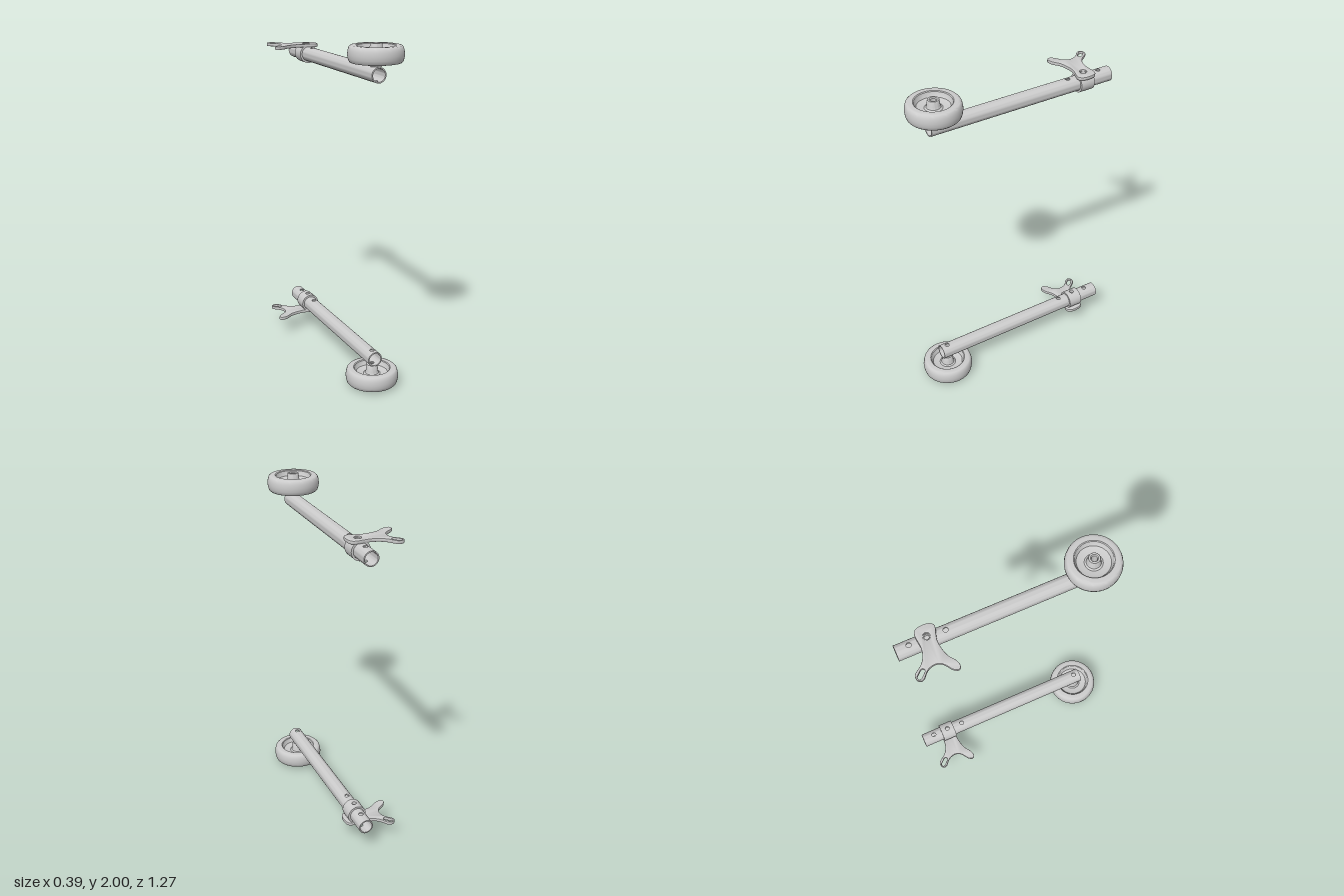
import * as THREE from 'three';
import { toCreasedNormals } from 'three/addons/utils/BufferGeometryUtils.js';

const AXIS_X = 0.037, TUBE_Y = 1.831, BOLT_R = 0.014;
const WHEEL_Z = 0.48, BRACKET_Z = -0.465;

// Hollow pipe along z with vertical bolt holes drilled right through
function drilledPipe(outer, inner, z0, z1, holes) {
  const half = Math.asin(BOLT_R / outer);
  const angles = [];
  for (const side of [0, Math.PI]) {
    for (let j = -6; j <= 6; j++) angles.push(side + Math.asin(BOLT_R / outer * Math.sin(j * Math.PI / 12)));
    for (let j = 1; j < 14; j++) angles.push(side + half + (Math.PI - 2 * half) * j / 14);
  }
  angles.push(angles[0] + 2 * Math.PI);

  const pos = [];
  const point = (a, r, z) => [r * Math.sin(a), r * Math.cos(a), z];
  const quad = (a, b, c, d) => pos.push(...a, ...b, ...c, ...a, ...c, ...d);
  const gap = a => Math.sqrt(Math.max(0, BOLT_R ** 2 - (outer * Math.sin(a)) ** 2));
  // z positions where the wall starts and stops at one angle
  const edges = a => [z0, ...holes.flatMap(h => [h - gap(a), h + gap(a)]), z1];

  for (let i = 0; i < angles.length - 1; i++) {
    const a = angles[i], b = angles[i + 1], ea = edges(a), eb = edges(b);
    const open = gap(a) + gap(b) > 1e-5;
    for (let k = 0; k < ea.length; k += 2) {
      const [oa0, oa1, ob0, ob1] = [point(a, outer, ea[k]), point(a, outer, ea[k + 1]), point(b, outer, eb[k]), point(b, outer, eb[k + 1])];
      const [ia0, ia1, ib0, ib1] = [point(a, inner, ea[k]), point(a, inner, ea[k + 1]), point(b, inner, eb[k]), point(b, inner, eb[k + 1])];
      quad(oa0, oa1, ob1, ob0);
      quad(ia0, ib0, ib1, ia1);
      if (k === 0 || open) quad(oa0, ob0, ib0, ia0);
      if (k === ea.length - 2 || open) quad(oa1, ia1, ib1, ob1);
    }
  }
  const geo = new THREE.BufferGeometry();
  geo.setAttribute('position', new THREE.Float32BufferAttribute(pos, 3));
  return toCreasedNormals(geo, 0.7).translate(AXIS_X, TUBE_Y, 0);
}

// Lathe of [radius, y] points, standing on the wheel axis
function turned(points) {
  const geo = new THREE.LatheGeometry(points.map(p => new THREE.Vector2(...p)), 64);
  return toCreasedNormals(geo, 0.6).translate(AXIS_X, 0, WHEEL_Z);
}

// Rounded tyre with a dished web on both faces
function wheelGeometry() {
  const mid = 1.942;
  const rim = [[0.025, 0.006], [0.045, 0.008], [0.075, 0.010], [0.092, 0.016], [0.099, 0.028],
    [0.103, 0.043], [0.108, 0.047], [0.130, 0.047], [0.140, 0.045], [0.147, 0.038], [0.152, 0.022], [0.155, 0]];
  const lower = rim.map(([r, y]) => [r, mid - y]);
  const upper = rim.slice(0, -1).reverse().map(([r, y]) => [r, mid + y]);
  return turned([...lower, ...upper]);
}

// Bored hub, flared where it meets the web
function hubGeometry() {
  const bore = 0.016;
  return turned([[bore, 1.879], [0.020, 1.874], [0.032, 1.874], [0.034, 1.877], [0.035, 1.915], [0.040, 1.928],
    [0.052, 1.935], [0.052, 1.949], [0.040, 1.956], [0.035, 1.968], [0.033, 1.997], [0.031, 2.0],
    [0.021, 2.0], [bore, 1.994], [bore, 1.879]]);
}

// Forked plate with two slotted fingers and a bolt hole
function plateGeometry() {
  const outline = [
    [0.104, 0.465], [0.098, 0.500], [0.085, 0.515], [0.060, 0.520], [-0.008, 0.515], [-0.056, 0.525],
    [-0.093, 0.549], [-0.117, 0.580], [-0.130, 0.596], [-0.146, 0.602], [-0.165, 0.598], [-0.177, 0.583],
    [-0.173, 0.565], [-0.134, 0.525], [-0.123, 0.481], [-0.137, 0.447], [-0.185, 0.410], [-0.198, 0.388],
    [-0.191, 0.372], [-0.173, 0.368], [-0.144, 0.377], [-0.107, 0.403], [-0.066, 0.417], [-0.008, 0.423],
    [0.036, 0.413], [0.073, 0.403], [0.093, 0.414], [0.103, 0.438]];
  const curve = new THREE.CatmullRomCurve3(outline.map(([x, y]) => new THREE.Vector3(x, y, 0)), true);
  const shape = new THREE.Shape(curve.getPoints(112).slice(0, -1).map(p => new THREE.Vector2(p.x, p.y)));

  const slot = (x0, y0, x1, y1, r) => {
    const dir = Math.atan2(y1 - y0, x1 - x0);
    const path = new THREE.Path();
    path.absarc(x1, y1, r, dir - Math.PI / 2, dir + Math.PI / 2);
    path.absarc(x0, y0, r, dir + Math.PI / 2, dir + Math.PI * 1.5);
    path.closePath();
    return path;
  };
  const bolt = new THREE.Path();
  bolt.absarc(AXIS_X, -BRACKET_Z, 0.020, 0, Math.PI * 2);
  shape.holes.push(slot(-0.155, 0.582, -0.130, 0.555, 0.012), slot(-0.178, 0.388, -0.143, 0.411, 0.012), bolt);

  const geo = new THREE.ExtrudeGeometry(shape, {
    depth: 0.012, bevelEnabled: true, bevelThickness: 0.004, bevelSize: 0.004, bevelOffset: -0.004,
    bevelSegments: 2, curveSegments: 12
  });
  geo.rotateX(-Math.PI / 2).translate(0, 1.877, 0);
  return toCreasedNormals(geo, 0.5);
}

// Copy of a geometry reflected in the plane y = 1
function mirrored(source) {
  const geo = source.clone();
  geo.applyMatrix4(new THREE.Matrix4().makeScale(1, -1, 1).setPosition(0, 2, 0));
  // swap two corners of each triangle so faces still point outward
  for (const attr of Object.values(geo.attributes)) {
    const n = attr.itemSize, a = attr.array;
    for (let t = 0; t < a.length; t += 3 * n) {
      for (let k = 0; k < n; k++) [a[t + n + k], a[t + 2 * n + k]] = [a[t + 2 * n + k], a[t + n + k]];
    }
  }
  return geo;
}

export function createModel() {
  const material = new THREE.MeshStandardMaterial({ color: 0xcccccc });
  const parts = {
    tube: drilledPipe(0.044, 0.037, -0.64, 0.52, [-0.565, BRACKET_Z, -0.36, WHEEL_Z]),
    collar: drilledPipe(0.056, 0.0442, -0.51, -0.422, [BRACKET_Z]),
    bracketPlate: plateGeometry(),
    wheel: wheelGeometry(),
    wheelHub: hubGeometry()
  };

  const model = new THREE.Group();
  model.name = 'wheelArmPair';
  for (const level of ['upper', 'lower']) {
    const arm = new THREE.Group();
    arm.name = level + 'Arm';
    for (const [name, geo] of Object.entries(parts)) {
      const mesh = new THREE.Mesh(level === 'upper' ? geo : mirrored(geo), material);
      mesh.name = name;
      arm.add(mesh);
    }
    model.add(arm);
  }
  return model;
}
